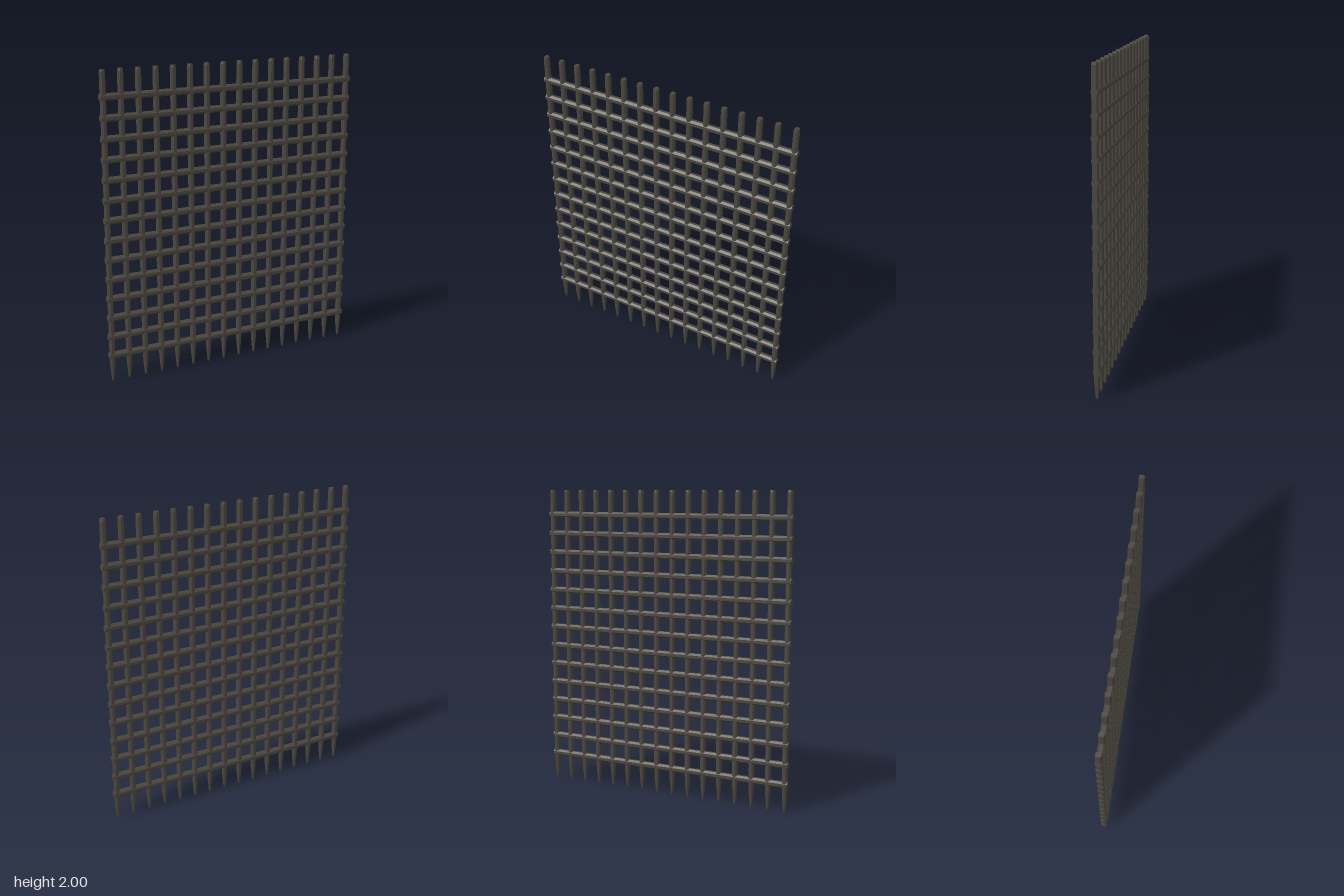
import * as THREE from 'three';

const W = 0.032, D = 0.038;   // upright width and depth
const H = 0.042;              // cross bar thickness

// Eight-sided outline of a rectangular bar with cut corners
function chamferedOutline(w, d, c) {
  const x = w / 2, y = d / 2;
  return [[x, -y + c], [x, y - c], [x - c, y], [-x + c, y],
    [-x, y - c], [-x, -y + c], [-x + c, -y], [x - c, -y]];
}

// Closed bar along y through sections given as [height, scale]
function barGeometry(outline, sections) {
  const n = outline.length, pos = [], idx = [];
  for (const [y, s] of sections) for (const [x, z] of outline) pos.push(x * s, y, z * s);
  for (let r = 0; r < sections.length - 1; r++) {
    for (let i = 0; i < n; i++) {
      const a = r * n + i, b = r * n + (i + 1) % n;
      idx.push(a, a + n, b, b, a + n, b + n);
    }
  }
  const top = (sections.length - 1) * n;
  for (let i = 1; i < n - 1; i++) {
    idx.push(0, i, i + 1, top, top + i + 1, top + i);
  }
  const g = new THREE.BufferGeometry();
  g.setAttribute('position', new THREE.Float32BufferAttribute(pos, 3));
  g.setIndex(idx);
  const flat = g.toNonIndexed();
  flat.computeVertexNormals();
  return flat;
}

export function createModel() {
  const model = new THREE.Group();
  model.name = 'portcullis';
  const iron = new THREE.MeshStandardMaterial({ color: 0x4a453e });
  iron.name = 'dark iron';

  // Uprights with tapered spikes at the foot
  const upright = barGeometry(chamferedOutline(W, D, 0.008),
    [[0, 0.3], [0.01, 0.42], [0.09, 0.8], [0.17, 1], [1.985, 1], [2, 0.88]]);
  const uprights = new THREE.Group();
  uprights.name = 'uprights';
  for (let i = 0; i < 16; i++) {
    const m = new THREE.Mesh(upright, iron);
    m.name = 'upright';
    m.position.x = -0.847 + i * 1.694 / 15;
    uprights.add(m);
  }

  // Cross bars, turned to lie along x
  const bar = barGeometry(chamferedOutline(H, H, 0.012), [[-0.868, 1], [0.868, 1]]);
  bar.rotateZ(Math.PI / 2);
  const bars = new THREE.Group();
  bars.name = 'crossBars';
  for (let i = 0; i < 14; i++) {
    const m = new THREE.Mesh(bar, iron);
    m.name = 'crossBar';
    m.position.y = 0.175 + i * 1.66 / 13;
    bars.add(m);
  }

  model.add(uprights, bars);
  return model;
}
